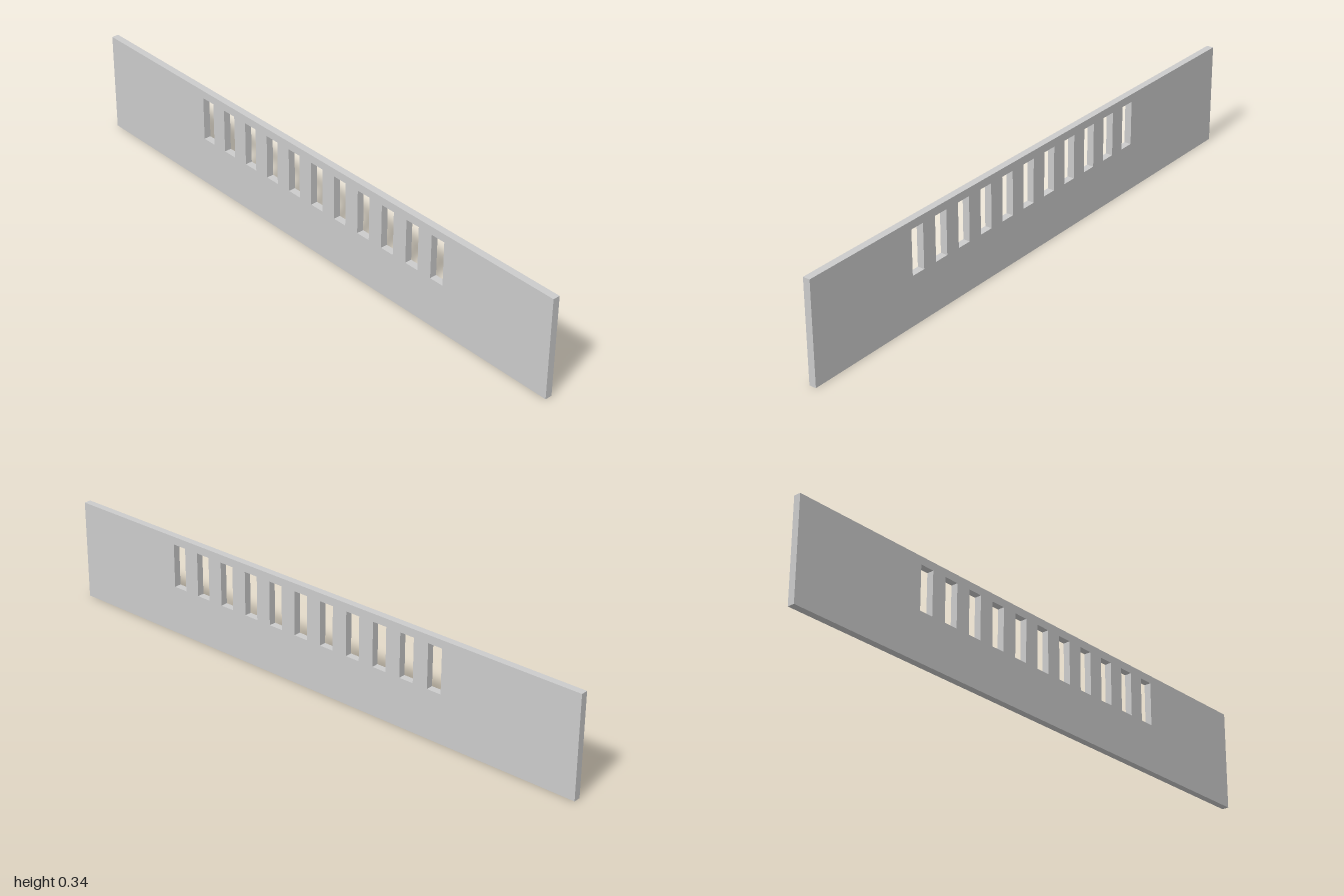
import * as THREE from 'three';

const LENGTH = 2, HEIGHT = 0.342, THICKNESS = 0.024;
const SLOTS = 11, PITCH = 0.1045, FIRST_X = -0.515;
const SLOT_W = 0.051, SLOT_BOTTOM = 0.165, SLOT_TOP = 0.315;

// Closed rectangle outline, used for the board and its slots
function rectangle(Type, x0, y0, x1, y1) {
  return new Type([[x0, y0], [x1, y0], [x1, y1], [x0, y1]].map(([x, y]) => new THREE.Vector2(x, y)));
}

export function createModel() {
  const group = new THREE.Group();
  group.name = 'slottedBoard';

  // Flat board with a row of upright vent slots near the top edge
  const outline = rectangle(THREE.Shape, -LENGTH / 2, 0, LENGTH / 2, HEIGHT);
  for (let i = 0; i < SLOTS; i++) {
    const x = FIRST_X + i * PITCH;
    outline.holes.push(rectangle(THREE.Path, x, SLOT_BOTTOM, x + SLOT_W, SLOT_TOP));
  }
  const geometry = new THREE.ExtrudeGeometry(outline, { depth: THICKNESS, bevelEnabled: false });
  geometry.translate(0, 0, -THICKNESS / 2);

  const board = new THREE.Mesh(geometry, new THREE.MeshStandardMaterial({ color: 0xcccccc }));
  board.name = 'board';
  group.add(board);
  return group;
}
